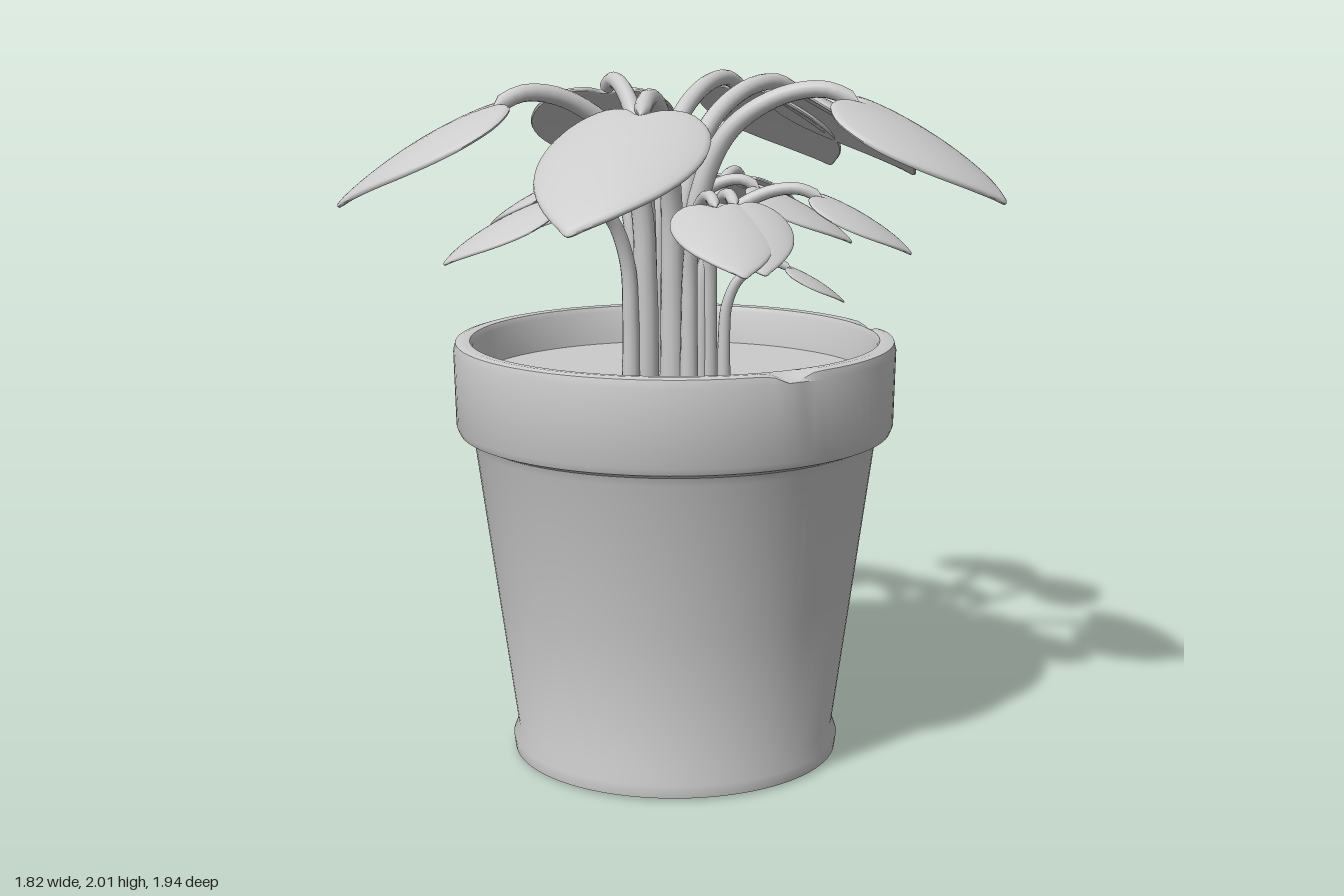
import * as THREE from 'three';
import { toCreasedNormals } from 'three/addons/utils/BufferGeometryUtils.js';

const material = new THREE.MeshStandardMaterial({ color: 0xcccccc, roughness: 0.8 });
const POT_X = -0.03, POT_Z = -0.075, SOIL_Y = 1.14;

function addMesh(parent, name, geometry) {
  const mesh = new THREE.Mesh(geometry, material);
  mesh.name = name;
  parent.add(mesh);
  return mesh;
}

// Turned pot with a heavy rim; two small chips dent its upper edge.
function potGeometry() {
  const profile = [
    [0, 0.005], [0.46, 0.005], [0.485, 0.012], [0.49, 0.05], [0.475, 0.09], [0.53, 0.5],
    [0.59, 0.95], [0.6, 0.975], [0.635, 0.99], [0.643, 1.01], [0.648, 1.23], [0.642, 1.253],
    [0.625, 1.258], [0.6, 1.256], [0.592, 1.24], [0.585, 1.08],
  ].map(([r, y]) => new THREE.Vector2(r, y));
  const geo = new THREE.LatheGeometry(profile, 96);
  const p = geo.attributes.position;
  for (let i = 0; i < p.count; i++) {
    if (p.getY(i) < 1.24 || Math.hypot(p.getX(i), p.getZ(i)) < 0.61) continue;
    const a = Math.atan2(p.getZ(i), p.getX(i));
    for (const chip of [0.96, -0.45]) {
      const d = (a - chip) / 0.07;
      p.setY(i, p.getY(i) - 0.025 * Math.exp(-d * d));
    }
  }
  return toCreasedNormals(geo, 0.7);
}

// Half outline of a heart leaf: [width, distance from the stalk], unit length.
const half = [[0.1, -0.06], [0.24, -0.08], [0.38, 0.02], [0.44, 0.2], [0.43, 0.4],
  [0.35, 0.62], [0.2, 0.83], [0.07, 0.95]];
const outline = new THREE.CatmullRomCurve3(
  [[0, 0.01], ...half, [0, 1.0], ...half.map(([w, u]) => [-w, u]).reverse()]
    .map(([w, u]) => new THREE.Vector3(w, 0, u)), true, 'centripetal');

// A flattened sphere whose equator is the heart outline, drooping at its sides and ends.
function leafGeometry() {
  const N = 56;
  const rim = outline.getPoints(N).reverse(); // same turning direction as the sphere
  const geo = new THREE.SphereGeometry(1, N, 20);
  const p = geo.attributes.position, uv = geo.attributes.uv;
  for (let i = 0; i < p.count; i++) {
    const edge = rim[(Math.round(uv.getX(i) * N) + N) % N];
    const phi = (1 - uv.getY(i)) * Math.PI;
    const s = Math.sin(phi), c = Math.cos(phi);
    const w = edge.x * s, u = 0.4 + (edge.z - 0.4) * s;
    const thick = 0.03 * Math.sign(c) * Math.sqrt(Math.abs(c));
    p.setXYZ(i, w, thick + 0.02 - 0.45 * w * w - 0.16 * (u - 0.35) ** 2, u);
  }
  return toCreasedNormals(geo, 0.9);
}

// Upright stalk arching over to the leaf, tapered and closed at its end.
function stalkGeometry(base, end, height, radius) {
  const steps = [[0, -0.03], [0, 0.35], [0.04, 0.64], [0.22, 0.86], [0.52, 0.975], [0.8, 1], [1, 0.955]];
  const curve = new THREE.CatmullRomCurve3(steps.map(([t, h]) => new THREE.Vector3(
    THREE.MathUtils.lerp(base[0], end[0], t), SOIL_Y + height * h,
    THREE.MathUtils.lerp(base[1], end[1], t))));
  const SEG = 36, SIDES = 12;
  const geo = new THREE.TubeGeometry(curve, SEG, radius, SIDES);
  const p = geo.attributes.position, q = new THREE.Vector3();
  for (let i = 0; i < p.count; i++) {
    const t = Math.floor(i / (SIDES + 1)) / SEG;
    q.fromBufferAttribute(p, i);
    q.lerp(curve.getPointAt(t), t === 1 ? 0.95 : 0.4 * t);
    p.setXYZ(i, q.x, q.y, q.z);
  }
  return geo;
}

// Each plant stem: [base x,z], [leaf attachment x,z], [leaf tip x,z].
const tiers = [
  { name: 'large', height: 0.845, drop: 0.27, radius: 0.038, stems: [
    [[0.03, 0.01], [0.5, 0.03], [0.92, 0.16]],
    [[-0.01, -0.08], [0.31, -0.42], [0.68, -0.65]],
    [[-0.09, -0.18], [0.13, -0.63], [0.41, -0.965]],
    [[-0.12, -0.12], [-0.28, -0.45], [-0.35, -0.89]],
    [[-0.1, 0.07], [-0.49, 0.31], [-0.92, 0.39]],
    [[-0.02, 0.1], [-0.06, 0.56], [-0.2, 0.98]],
  ] },
  { name: 'small', height: 0.57, drop: 0.155, radius: 0.027, stems: [
    [[-0.13, -0.2], [-0.38, -0.34], [-0.64, -0.41]],
    [[-0.15, -0.1], [-0.27, -0.2], [-0.53, -0.15]],
    [[-0.05, -0.19], [0.21, -0.18], [0.49, -0.14]],
    [[0.06, 0.06], [0.4, 0.06], [0.66, 0.1]],
    [[0.03, 0.13], [0.12, 0.33], [0.22, 0.6]],
    [[0.08, 0.06], [0.17, 0.29], [0.27, 0.55]],
    [[-0.14, 0.1], [-0.36, 0.32], [-0.62, 0.42]],
    [[0.0, -0.22], [0.05, -0.32], [0.01, -0.59]],
    [[-0.03, -0.27], [0.03, -0.55], [0.07, -0.83]],
    [[0.05, -0.25], [0.14, -0.48], [0.24, -0.74]],
  ] },
  { name: 'tiny', height: 0.35, drop: 0.1, radius: 0.02, stems: [
    [[0.12, 0.0], [0.31, 0.0], [0.47, -0.01]],
  ] },
];

export function createModel() {
  const model = new THREE.Group();
  model.name = 'pottedPlant';

  addMesh(model, 'pot', potGeometry()).position.set(POT_X, 0, POT_Z);
  const soil = addMesh(model, 'soil', new THREE.CircleGeometry(0.592, 64).rotateX(-Math.PI / 2));
  soil.position.set(POT_X, SOIL_Y, POT_Z);

  const leafGeo = leafGeometry();
  const up = new THREE.Vector3(0, 1, 0);
  for (const { name, height, drop, radius, stems } of tiers) {
    for (const [base, end, tip] of stems) {
      const stem = new THREE.Group();
      stem.name = `${name}Stem`;
      addMesh(stem, 'stalk', stalkGeometry(base, end, height, radius));

      // The leaf hangs from the stalk end and points at its tip.
      const leaf = addMesh(stem, 'leaf', leafGeo);
      const forward = new THREE.Vector3(tip[0] - end[0], -drop * 0.9, tip[1] - end[1]);
      const length = forward.length();
      forward.normalize();
      const side = new THREE.Vector3().crossVectors(up, forward).normalize();
      const normal = new THREE.Vector3().crossVectors(forward, side);
      leaf.quaternion.setFromRotationMatrix(new THREE.Matrix4().makeBasis(side, normal, forward));
      leaf.position.set(end[0], SOIL_Y + height * 0.955, end[1]);
      leaf.scale.setScalar(length);
      model.add(stem);
    }
  }
  return model;
}
